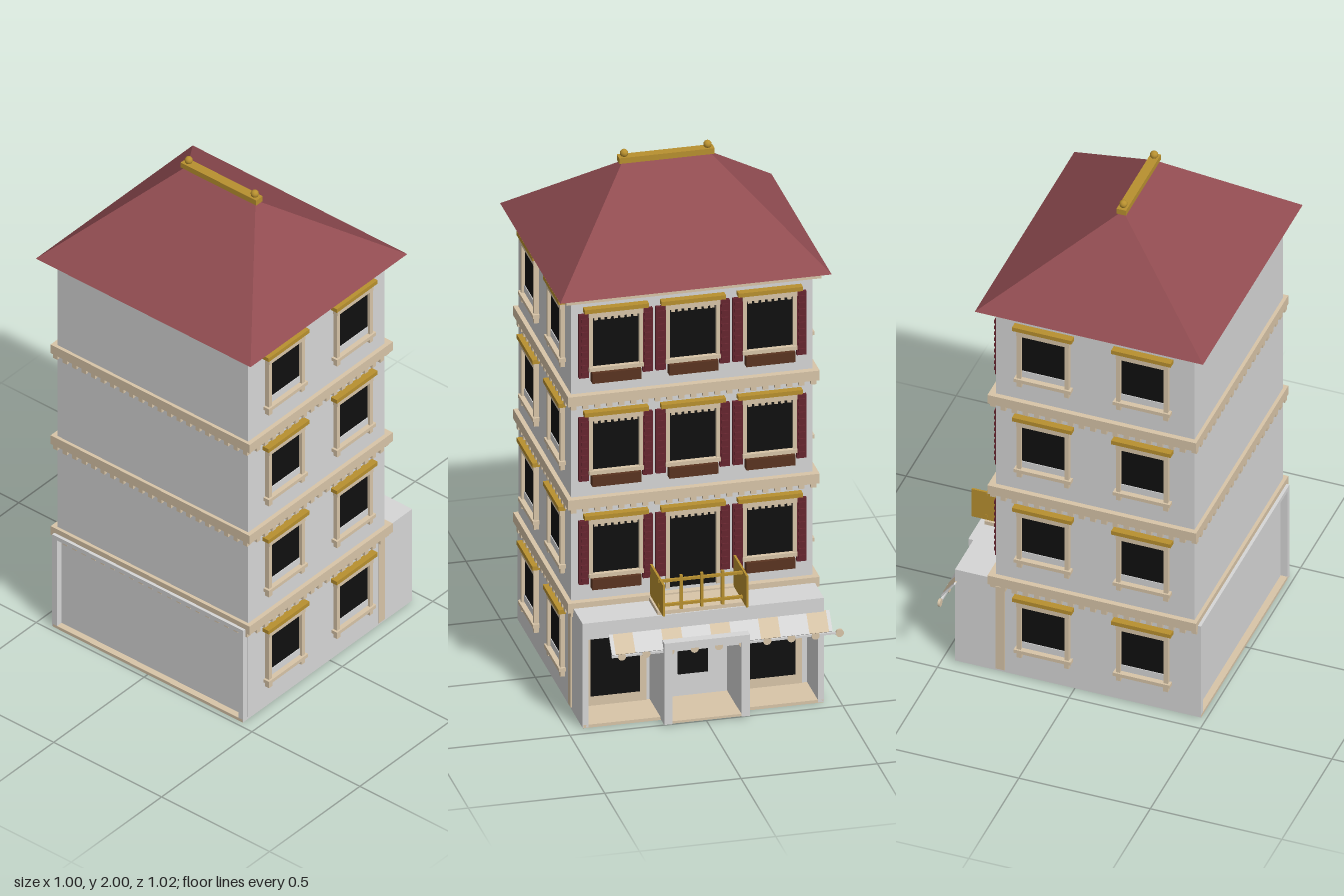
import * as THREE from 'three';

const mat = (name, color, side = THREE.FrontSide) => {
  const m = new THREE.MeshStandardMaterial({ color, side });
  m.name = name;
  return m;
};

export function createModel() {
  const model = new THREE.Group();
  model.name = 'townhouse';
  const wall = mat('pale wall', 0xd6d6d6);
  const tan = mat('sandstone trim', 0xd8c5a8);
  const gold = mat('gold', 0xb8902f);
  const red = mat('roof red', 0x914c51);
  const maroon = mat('shutter maroon', 0x66252f);
  const brown = mat('planter brown', 0x5a3420);
  const black = mat('dark glass', 0x101010);

  // Box given by its minimum and maximum on each axis
  const box = (parent, name, m, x0, x1, y0, y1, z0, z1) => {
    const mesh = new THREE.Mesh(new THREE.BoxGeometry(x1 - x0, y1 - y0, z1 - z0), m);
    mesh.position.set((x0 + x1) / 2, (y0 + y1) / 2, (z0 + z1) / 2);
    mesh.name = name;
    parent.add(mesh);
    return mesh;
  };
  const group = (name, parent = model) => {
    const g = new THREE.Group();
    g.name = name;
    parent.add(g);
    return g;
  };

  const floorH = 0.405;

  // Main block and ground slab
  box(model, 'mainWalls', wall, -0.44, 0.445, 0.012, 1.61, -0.3, 0.455);
  box(model, 'groundSlab', tan, -0.44, 0.44, 0, 0.012, -0.455, 0.48);

  // Blank side frame on the ground floor
  for (const s of [-1, 1]) {
    const a = s * 0.42, b = s * 0.4425;
    box(model, 'groundSideWall', wall, Math.min(a, b), Math.max(a, b), 0.002, 0.41, -0.455, 0.48);
    box(model, 'cornerStrip', tan, s * 0.444 - 0.003, s * 0.444 + 0.003, 0.012, 0.38, -0.3, -0.265);
  }
  box(model, 'groundFrameTop', wall, -0.42, 0.42, 0.393, 0.41, 0.45, 0.48);

  // Bands with dentils on all four sides
  const dentil = new THREE.BoxGeometry(0.02, 0.02, 0.02);
  for (let f = 0; f < 3; f++) {
    const y = 0.393 + f * floorH;
    const band = group('floorBand');
    box(band, 'band', tan, -0.46, 0.462, y, y + 0.038, -0.325, 0.468);
    const put = (x, z) => {
      const d = new THREE.Mesh(dentil, tan);
      d.position.set(x, y - 0.007, z);
      d.name = 'dentil';
      band.add(d);
    };
    for (let i = 0; i < 21; i++) {
      const x = -0.44 + i * 0.044;
      put(x, 0.457);
      put(x, -0.309);
    }
    for (let i = 1; i < 18; i++) {
      const z = -0.309 + i * 0.0426;
      put(-0.449, z);
      put(0.451, z);
    }
  }
  box(model, 'cornice', tan, -0.465, 0.47, 1.605, 1.632, -0.33, 0.47);

  // Hipped roof: eave rectangle raised to a ridge line
  const A = [-0.495, 1.63, 0.508], B = [0.5, 1.63, 0.508], C = [0.5, 1.63, -0.36], D = [-0.495, 1.63, -0.36];
  const P = [-0.155, 1.957, 0.074], Q = [0.16, 1.957, 0.074];
  const roofGeo = new THREE.BufferGeometry();
  roofGeo.setAttribute('position', new THREE.Float32BufferAttribute([
    A, B, Q, A, Q, P, B, C, Q, C, D, P, C, P, Q, D, A, P, A, D, C, A, C, B].flat(), 3));
  roofGeo.computeVertexNormals();
  const roof = new THREE.Mesh(roofGeo, red);
  roof.name = 'roof';
  model.add(roof);
  box(model, 'ridgeBar', gold, -0.172, 0.178, 1.952, 1.974, 0.056, 0.092);
  for (const x of [-0.15, 0.156]) {
    const k = new THREE.Mesh(new THREE.SphereGeometry(0.015, 12, 8), gold);
    k.position.set(x, 1.985, 0.074);
    k.name = 'ridgeKnob';
    model.add(k);
  }

  // Side window, built facing +z around its pane centre
  const sideWindow = () => {
    const w = new THREE.Group();
    w.name = 'sideWindow';
    box(w, 'pane', black, -0.084, 0.084, -0.078, 0.078, 0, 0.005);
    box(w, 'sash', wall, -0.088, 0.088, -0.105, -0.078, 0, 0.008);
    box(w, 'lintel', tan, -0.1, 0.1, 0.082, 0.107, 0, 0.02);
    box(w, 'hood', gold, -0.113, 0.113, 0.107, 0.123, 0, 0.028);
    box(w, 'sill', tan, -0.108, 0.108, -0.122, -0.108, 0, 0.025);
    for (const s of [-1, 1]) {
      box(w, 'jamb', tan, s * 0.091 - 0.008, s * 0.091 + 0.008, -0.108, 0.082, 0, 0.018);
      box(w, 'bracket', tan, s * 0.09 - 0.009, s * 0.09 + 0.009, -0.145, -0.122, 0, 0.018);
    }
    return w;
  };
  for (let f = 0; f < 4; f++) {
    for (const z of [0.262, -0.115]) {
      for (const s of [-1, 1]) {
        const w = sideWindow();
        w.position.set(s > 0 ? 0.445 : -0.442, 0.24 + f * floorH, z);
        w.rotation.y = s * Math.PI / 2;
        model.add(w);
      }
    }
  }

  // Facade window with shutters and planter, facing +z before turning
  const facadeWindow = (door) => {
    const w = new THREE.Group();
    w.name = door ? 'balconyDoor' : 'facadeWindow';
    const low = door ? -0.2 : -0.11;
    box(w, 'pane', black, -0.086, 0.086, low, 0.085, 0, 0.005);
    box(w, 'lintel', tan, -0.1, 0.1, 0.085, 0.105, 0, 0.02);
    box(w, 'hood', gold, -0.118, 0.118, 0.107, 0.123, 0, 0.028);
    for (let i = 0; i < 7; i++) {
      const x = -0.072 + i * 0.024;
      box(w, 'valanceTooth', tan, x - 0.007, x + 0.007, 0.072, 0.086, 0, 0.012);
    }
    for (const s of [-1, 1]) {
      box(w, 'jamb', tan, s * 0.092 - 0.007, s * 0.092 + 0.007, low, 0.085, 0, 0.016);
      const c = s * 0.117;
      box(w, 'shutter', maroon, c - 0.018, c + 0.018, -0.15, 0.098, 0, 0.014);
      for (let i = 0; i < 9; i++) {
        const y = -0.13 + i * 0.026;
        box(w, 'slat', maroon, c - 0.012, c + 0.012, y - 0.006, y + 0.006, 0.012, 0.02);
      }
    }
    if (!door) {
      box(w, 'sill', tan, -0.1, 0.1, -0.125, -0.11, 0, 0.022);
      box(w, 'planter', brown, -0.09, 0.09, -0.168, -0.128, 0, 0.03);
    }
    return w;
  };
  for (let f = 1; f < 4; f++) {
    for (const x of [-0.28, 0.002, 0.284]) {
      const w = facadeWindow(f === 1 && Math.abs(x) < 0.1);
      w.position.set(x, 0.24 + f * floorH, -0.3);
      w.rotation.y = Math.PI;
      model.add(w);
    }
  }

  // Shop front under a flat roof
  const shop = group('shopFront');
  box(shop, 'shopRoof', wall, -0.42, 0.42, 0.385, 0.41, -0.455, -0.3);
  box(shop, 'fascia', wall, -0.42, 0.42, 0.345, 0.385, -0.455, -0.44);
  for (const s of [-1, 1]) {
    const c = s * 0.285;
    box(shop, 'shopWindowSurround', tan, c - 0.115, c + 0.115, 0.012, 0.345, -0.304, -0.3);
    box(shop, 'shopWindow', black, c - 0.09, c + 0.09, 0.05, 0.32, -0.308, -0.303);
    box(shop, 'portalPost', wall, s * 0.142 - 0.015, s * 0.142 + 0.015, 0.005, 0.325, -0.51, -0.3);
  }
  box(shop, 'portalLintel', wall, -0.157, 0.157, 0.297, 0.325, -0.513, -0.44);
  box(shop, 'portalFloor', tan, -0.13, 0.13, 0.005, 0.014, -0.505, -0.45);
  box(shop, 'doorGlass', black, -0.055, 0.055, 0.1, 0.26, -0.309, -0.302);

  // Striped sloping awning with round valance drops
  const awning = group('awning');
  const y0 = 0.358, y1 = 0.295, za = -0.45, zb = -0.498;
  const stripe = (m, a, b) => {
    const p = box(awning, 'awningStripe', m, a, b, -0.003, 0.003, 0, Math.hypot(y0 - y1, zb - za));
    p.position.y = (y0 + y1) / 2;
    p.position.z = (za + zb) / 2;
    p.rotation.x = -Math.atan2(y0 - y1, za - zb);
  };
  let edge = -0.463;
  for (let i = 0; i < 5; i++) {
    const a = -0.45 + i * 0.1775;
    stripe(wall, edge, a);
    stripe(tan, a, a + 0.072);
    edge = a + 0.072;
  }
  stripe(wall, edge, 0.346);
  box(awning, 'awningRod', wall, -0.475, 0.346, 0.283, 0.291, -0.498, -0.49);
  for (let i = 0; i < 10; i++) {
    const d = new THREE.Mesh(new THREE.CylinderGeometry(0.015, 0.015, 0.009, 14), tan);
    d.rotation.x = Math.PI / 2;
    d.position.set(-0.49 + i * 0.0887, 0.285, -0.494);
    d.name = 'valanceDrop';
    awning.add(d);
  }

  // Balcony above the portal
  const balcony = group('balcony');
  box(balcony, 'balconyFloor', tan, -0.16, 0.166, 0.41, 0.425, -0.45, -0.3);
  for (const x of [-0.15, 0.156]) {
    box(balcony, 'balconySide', gold, x - 0.004, x + 0.004, 0.428, 0.55, -0.502, -0.318);
  }
  for (const y of [0.445, 0.54]) {
    box(balcony, 'rail', gold, -0.155, 0.162, y - 0.005, y + 0.005, -0.45, -0.44);
  }
  for (const x of [-0.073, 0.003, 0.079]) {
    box(balcony, 'baluster', gold, x - 0.005, x + 0.005, 0.425, 0.557, -0.451, -0.439);
  }
  return model;
}
